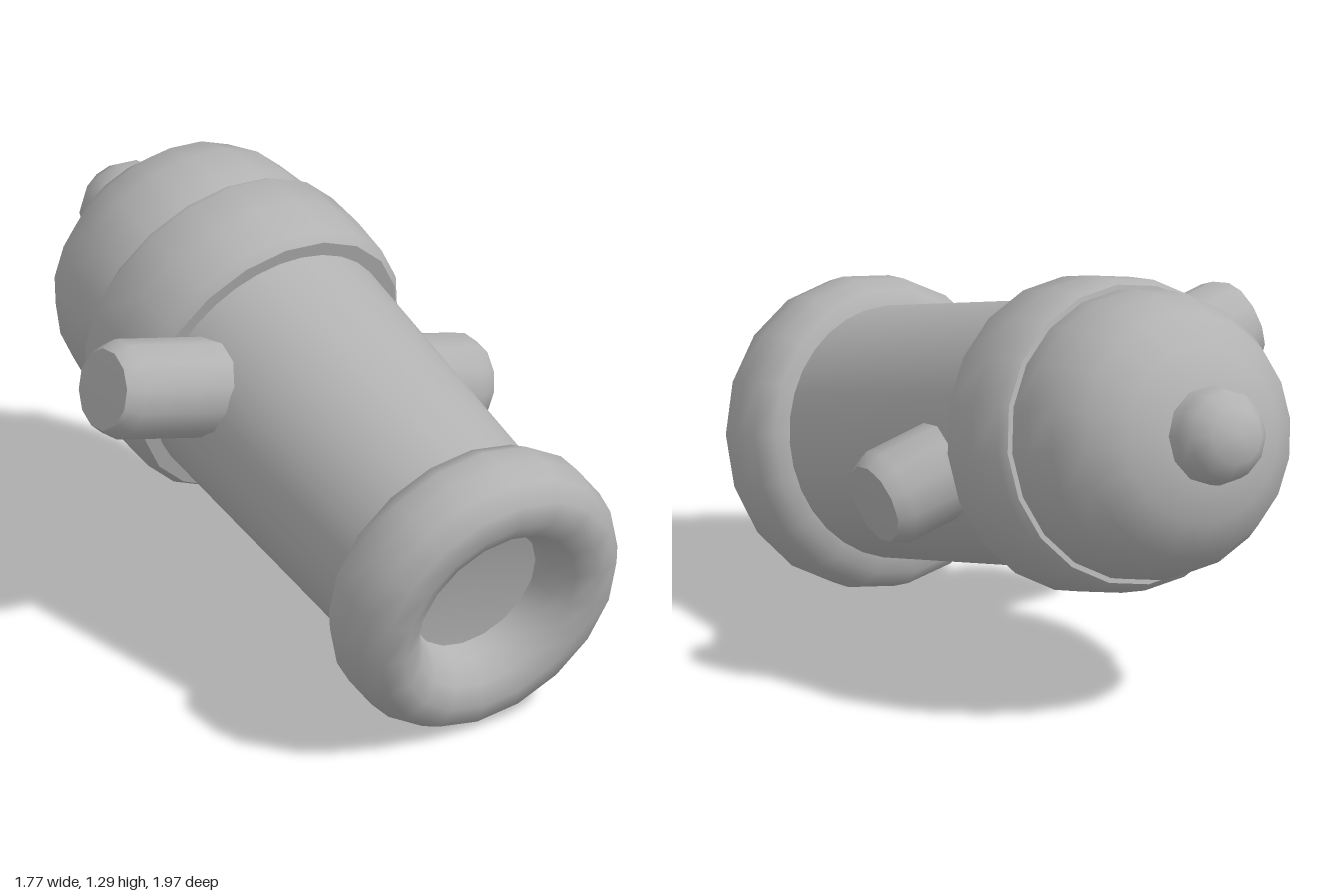
import * as THREE from 'three';
import { toCreasedNormals } from 'three/addons/utils/BufferGeometryUtils.js';

export function createModel() {
  const model = new THREE.Group();
  model.name = 'cannon';
  const iron = new THREE.MeshStandardMaterial({ color: 0xb2b2b2 });
  iron.name = 'grey iron';

  // Turned part: profile of [radius, distance from the muzzle]
  const turned = (name, profile, sides, parent, crease = 0.75) => {
    const points = profile.map(([r, y]) => new THREE.Vector2(r, y));
    const geometry = toCreasedNormals(new THREE.LatheGeometry(points, sides), crease);
    const mesh = new THREE.Mesh(geometry, iron);
    mesh.name = name;
    parent.add(mesh);
    return mesh;
  };

  // Gun body: local +y runs from the muzzle to the breech
  const body = new THREE.Group();
  body.name = 'gunBody';
  body.position.set(0.45, 0.47, 0.603);
  const up = new THREE.Vector3(0, 1, 0);
  const axis = new THREE.Vector3(-0.603, 0.248, -0.758).normalize();
  body.quaternion.setFromUnitVectors(up, axis);
  model.add(body);

  // Rounded muzzle ring with a shallow bore
  turned('muzzleRing', [
    [0, 0.03], [0.22, 0], [0.238, -0.06], [0.285, -0.125], [0.35, -0.155],
    [0.42, -0.14], [0.462, -0.08], [0.475, 0], [0.466, 0.08], [0.43, 0.14], [0.36, 0.15],
  ], 18, body, 1.0);

  // Barrel widening towards the breech
  turned('barrel', [[0.38, 0.1], [0.41, 1.2]], 32, body);

  // Thick reinforcing band
  turned('breechBand', [
    [0.39, 1.13], [0.455, 1.13], [0.478, 1.16], [0.482, 1.3], [0.474, 1.43], [0.455, 1.455], [0.4, 1.455],
  ], 20, body);

  // Rounded breech and its end knob
  turned('breechDome', [
    [0.42, 1.4], [0.44, 1.46], [0.442, 1.54], [0.424, 1.65], [0.372, 1.755],
    [0.27, 1.84], [0.15, 1.88], [0, 1.89],
  ], 20, body, 1.0);
  turned('breechKnob', [
    [0.15, 1.8], [0.15, 1.93], [0.135, 1.98], [0.09, 2.025], [0, 2.04],
  ], 12, body, 1.0);

  // Tilted side trunnions, one running out from the barrel each way
  const ends = { leftTrunnion: [0.355, 0.59, -0.49], rightTrunnion: [-0.694, 0.94, 0.307] };
  const middle = new THREE.Vector3(-0.165, 0.765, -0.095);
  for (const [name, end] of Object.entries(ends)) {
    const reach = new THREE.Vector3(...end).sub(middle);
    const length = reach.length();
    const trunnion = turned(name, [
      [0.152, 0.2], [0.152, length - 0.05], [0.125, length], [0, length + 0.01],
    ], 12, model);
    trunnion.position.copy(middle);
    trunnion.quaternion.setFromUnitVectors(up, reach.normalize());
  }

  return model;
}
